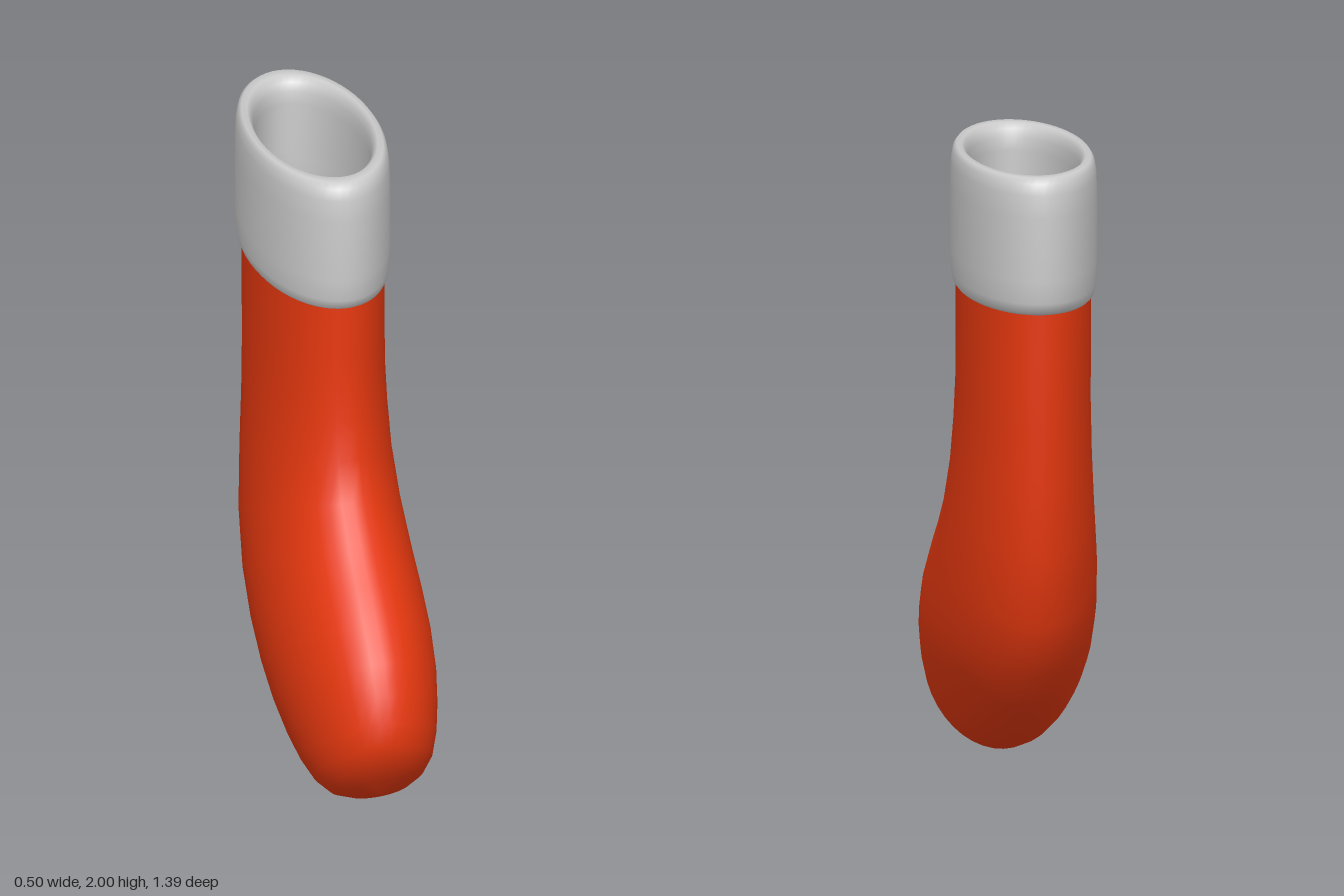
import * as THREE from 'three';

// Skin a list of elliptical rings; each ring is [frontZ, frontY, backZ, backY, halfWidth].
function loft(rings, sides) {
  const pos = [], idx = [];
  rings.forEach(([fz, fy, bz, by, w], i) => {
    for (let j = 0; j < sides; j++) {
      const t = (j / sides) * Math.PI * 2, c = Math.cos(t) / 2;
      pos.push(w * Math.sin(t), (fy + by) / 2 + c * (fy - by), (fz + bz) / 2 + c * (fz - bz));
      if (i === 0) continue;
      const k = (j + 1) % sides, up = (i - 1) * sides, low = i * sides;
      idx.push(low + j, low + k, up + k, low + j, up + k, up + j);
    }
  });
  const geo = new THREE.BufferGeometry();
  geo.setAttribute('position', new THREE.Float32BufferAttribute(pos, 3));
  geo.setIndex(idx);
  geo.computeVertexNormals();
  return geo;
}

export function createModel() {
  const group = new THREE.Group();
  group.name = 'stocking';

  // Sock: rings run down the leg, fan around the heel and close at the toe
  const sockRings = [
    [0.15, 1.6, -0.65, 1.6, 0.2],
    [0.155, 1.4, -0.65, 1.37, 0.2],
    [0.16, 1.3, -0.648, 1.2, 0.2],
    [0.17, 1.2, -0.64, 1.0, 0.205],
    [0.19, 1.07, -0.63, 0.8, 0.215],
    [0.24, 0.95, -0.59, 0.57, 0.231],
    [0.33, 0.85, -0.5, 0.39, 0.243],
    [0.43, 0.76, -0.37, 0.27, 0.25],
    [0.53, 0.67, -0.23, 0.18, 0.25],
    [0.61, 0.58, -0.1, 0.11, 0.241],
    [0.66, 0.49, 0.03, 0.055, 0.224],
    [0.69, 0.41, 0.15, 0.02, 0.204],
    [0.7, 0.34, 0.27, 0.003, 0.178],
    [0.68, 0.27, 0.36, 0.01, 0.143],
    [0.64, 0.2, 0.45, 0.045, 0.095],
    [0.565, 0.112, 0.565, 0.112, 0],
  ];
  const sock = new THREE.Mesh(
    loft(sockRings, 40),
    new THREE.MeshStandardMaterial({ color: 0xe6380f, side: THREE.DoubleSide })
  );
  sock.name = 'sock';
  group.add(sock);

  // Cuff: rounded closed profile [0 = inner wall .. 1 = outer wall, height] around an ellipse
  const profile = [
    [0, 1.75], [0, 1.92], [0.04, 1.96], [0.15, 1.985], [0.35, 2], [0.65, 2],
    [0.84, 1.985], [0.95, 1.95], [1, 1.88], [1, 1.68], [0.95, 1.61], [0.85, 1.58],
    [0.7, 1.57], [0.3, 1.57], [0.1, 1.58], [0, 1.63], [0, 1.75],
  ];
  const cuffRings = profile.map(([s, y]) => {
    const depth = THREE.MathUtils.lerp(0.32, 0.438, s);
    return [-0.257 + depth, y, -0.257 - depth, y, THREE.MathUtils.lerp(0.165, 0.218, s)];
  });
  const cuff = new THREE.Mesh(loft(cuffRings, 56), new THREE.MeshStandardMaterial({ color: 0xcccccc }));
  cuff.name = 'cuff';
  group.add(cuff);

  return group;
}
